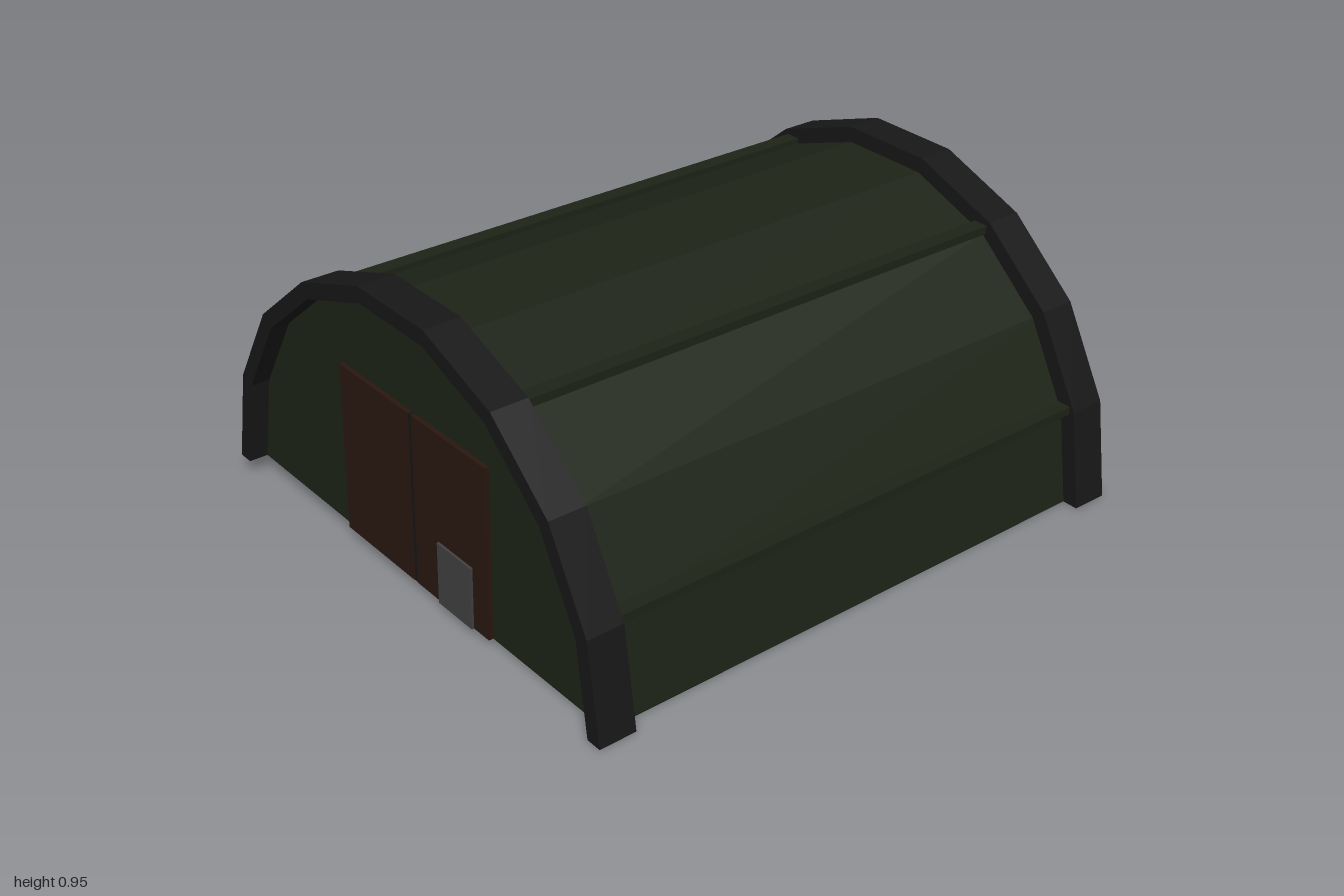
import * as THREE from 'three';

const SEG = 9, R_OUT = 0.929, R_WALL = 0.877, TILT = -0.031;

const paint = (color) => new THREE.MeshStandardMaterial({ color, flatShading: true, side: THREE.DoubleSide });
const green = paint(0x1d2317), dark = paint(0x171717), brown = paint(0x29160f), grey = paint(0x404040);

// points of a faceted half circle between two facet numbers
function arc(r, from = 0, to = SEG) {
  const pts = [];
  const step = from < to ? 1 : -1;
  for (let i = from; i !== to + step; i += step) {
    const a = (i / SEG) * Math.PI;
    pts.push(new THREE.Vector2(Math.cos(a) * r, Math.sin(a) * r));
  }
  return pts;
}

function createModel() {
  const model = new THREE.Group();
  const hut = new THREE.Group();
  hut.name = 'hut';
  model.add(hut);

  function add(name, geometry, material, x = 0, y = 0, z = 0) {
    const mesh = new THREE.Mesh(geometry, material);
    mesh.name = name;
    mesh.position.set(x, y, z);
    hut.add(mesh);
  }
  // extrude an outline from z0 to z1
  function slab(name, pts, z0, z1, material) {
    const geometry = new THREE.ExtrudeGeometry(new THREE.Shape(pts), { depth: z1 - z0, bevelEnabled: false });
    add(name, geometry, material, 0, 0, z0);
  }

  // thin vaulted roof, open underneath
  slab('roofShell', [...arc(R_WALL), ...arc(R_WALL - 0.005, SEG, 0)], -0.88, 0.88, green);

  // end arches
  const ring = [...arc(R_OUT), ...arc(R_WALL, SEG, 0)];
  slab('frontArch', ring, 0.877, 1, dark);
  slab('backArch', ring, -1, -0.877, dark);

  // end walls, set slightly back inside the arches
  slab('frontWall', arc(R_WALL), 0.92, 0.937, green);
  slab('backWall', arc(R_WALL), -0.99, -0.965, green);

  // dark plinth across the back, reaching up to the first arch joint
  const [a, b] = arc(R_OUT, 0, 1);
  const plinth = [a, b, new THREE.Vector2(-b.x, b.y), new THREE.Vector2(-a.x, a.y)];
  slab('backPlinth', plinth, -1, -0.97, dark);

  // level purlins running through the roof at the facet joints
  for (const s of [-1, 1]) {
    for (const [x, y] of [[0.83, 0.317], [0.428, 0.777]]) {
      add('purlin', new THREE.BoxGeometry(0.05, 0.027, 1.76), green, s * x, y, 0);
    }
  }

  // double doors with a dark centre gap and a small hatch
  for (const s of [-1, 1]) {
    add('door', new THREE.BoxGeometry(0.356, 0.565, 0.02), brown, s * 0.186, 0.2825, 0.942);
  }
  add('doorGap', new THREE.BoxGeometry(0.016, 0.565, 0.016), dark, 0, 0.2825, 0.942);
  add('doorHatch', new THREE.BoxGeometry(0.164, 0.206, 0.02), grey, 0.21, 0.103, 0.95);

  // the whole hut leans slightly to one side
  hut.rotation.z = TILT;
  hut.position.y = R_OUT * Math.sin(-TILT);
  return model;
}

export { createModel };
